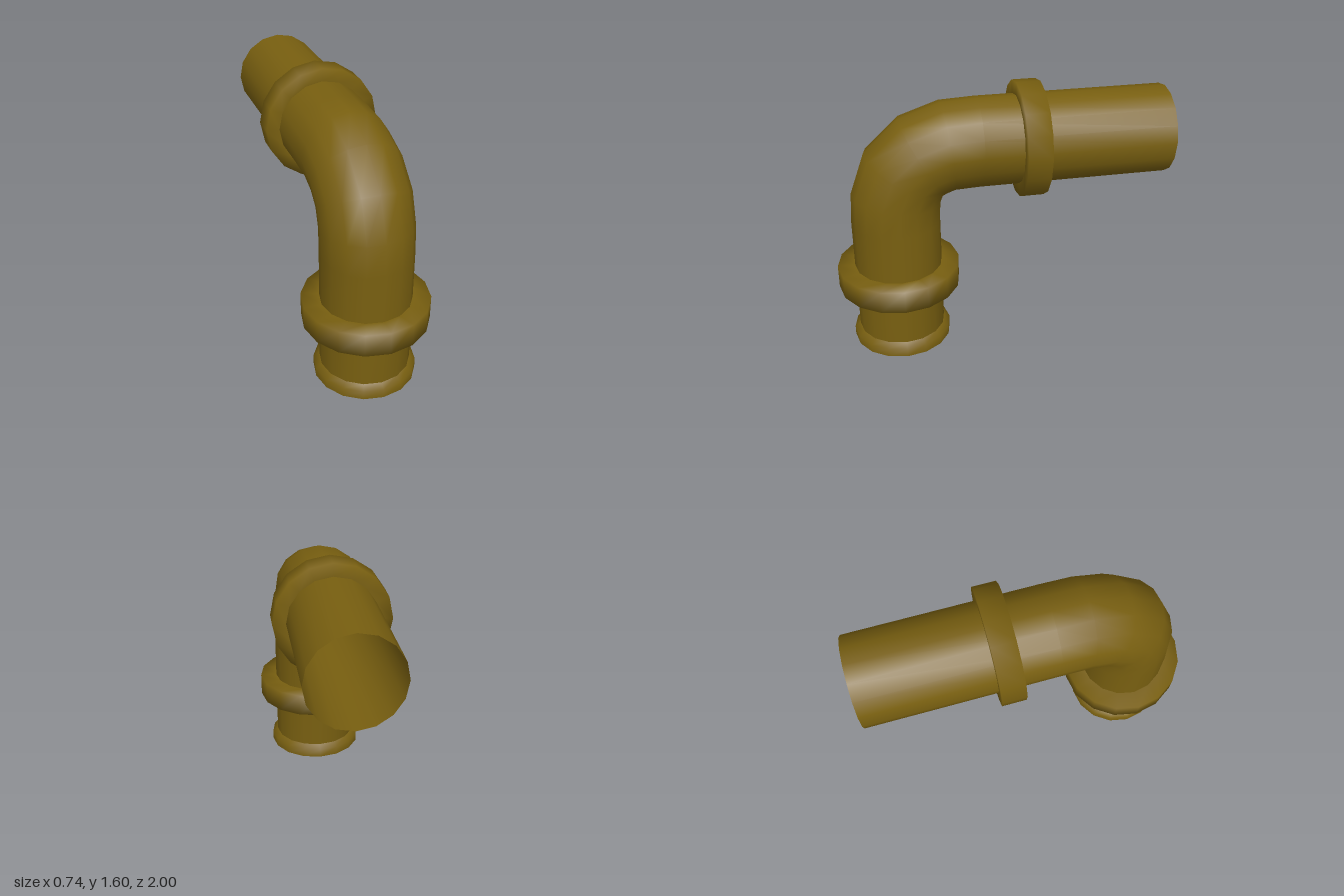
import * as THREE from 'three';

const SIDES = 16;

// Skin a run of rings. Each ring is [z, y, tilt in degrees, radius];
// tilt 0 faces up, tilt 90 faces the back.
function skinRings(rings) {
  const pos = [], index = [];
  for (const [z, y, tilt, r] of rings) {
    const t = THREE.MathUtils.degToRad(tilt);
    for (let i = 0; i < SIDES; i++) {
      const a = (i / SIDES) * Math.PI * 2;
      const out = r * Math.cos(a);
      pos.push(r * Math.sin(a), y + out * Math.sin(t), z + out * Math.cos(t));
    }
  }
  for (let j = 0; j < rings.length - 1; j++) {
    for (let i = 0; i < SIDES; i++) {
      const k = (i + 1) % SIDES;
      const a = j * SIDES + i, b = j * SIDES + k;
      index.push(a, b, b + SIDES, a, b + SIDES, a + SIDES);
    }
  }
  const geo = new THREE.BufferGeometry();
  geo.setAttribute('position', new THREE.Float32BufferAttribute(pos, 3));
  geo.setIndex(index);
  geo.computeVertexNormals();
  return geo;
}

export function createModel() {
  const model = new THREE.Group();
  model.name = 'pipeElbow';
  const metal = new THREE.MeshStandardMaterial({ color: 0x785f10, side: THREE.DoubleSide });
  metal.name = 'olive brass';

  const R = 0.265;      // pipe radius
  const Z = 0.63;       // axis of the upright run
  const Y = 1.258;      // axis of the level run

  const add = (name, rings) => {
    const mesh = new THREE.Mesh(skinRings(rings), metal);
    mesh.name = name;
    model.add(mesh);
  };

  // Open pipe: upright run, bend, level run
  add('pipe', [
    [Z, 0.08, 0, R],
    [Z, 0.8, 0, R],
    [0.62, 0.955, 8, R],
    [0.567, 1.1, 31, R],
    [0.455, 1.2, 60, R],
    [0.31, 1.25, 83, R],
    [0.13, Y, 90, R],
    [-1, Y, 90, R],
  ]);

  // Flared lip at the foot, open below
  add('baseLip', [
    [Z, 0, 0, 0.3],
    [Z, 0.055, 0, 0.3],
    [Z, 0.08, 0, R],
  ]);

  // Flanges around each run
  add('lowerCollar', [
    [Z, 0.37, 0, R],
    [Z, 0.37, 0, 0.37],
    [Z, 0.508, 0, 0.37],
    [Z, 0.508, 0, R],
  ]);
  add('upperCollar', [
    [-0.098, Y, 90, R],
    [-0.098, Y, 90, 0.343],
    [-0.24, Y, 90, 0.343],
    [-0.24, Y, 90, R],
  ]);

  return model;
}
